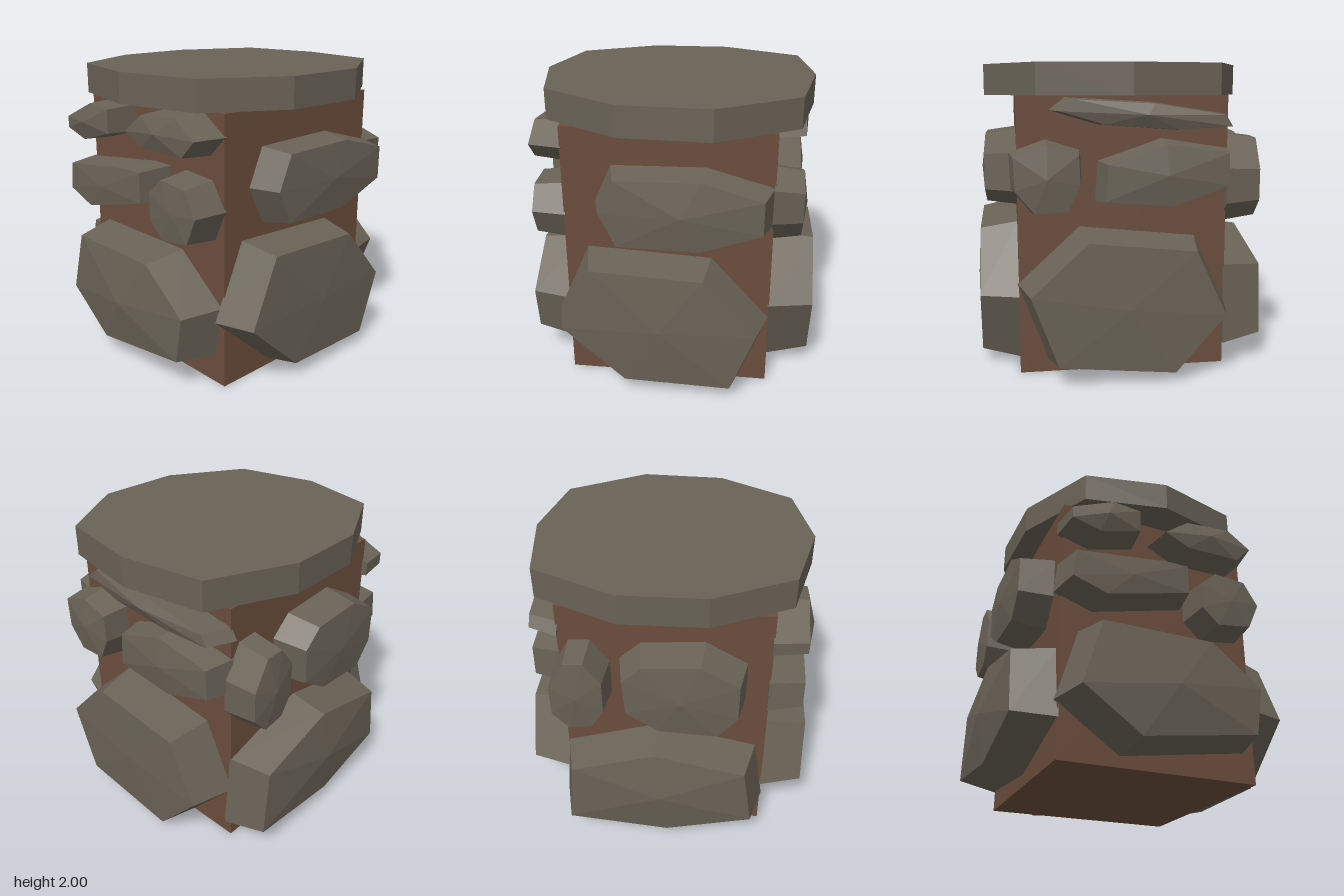
import * as THREE from 'three';

const stone = new THREE.MeshStandardMaterial({ color: 0x696256, flatShading: true });
stone.name = 'stone';
const earth = new THREE.MeshStandardMaterial({ color: 0x6b4d3d, flatShading: true });
earth.name = 'earth';

// Map wall coordinates (u along the wall, v up, d outward) to space
const walls = {
  front: (u, v, d) => new THREE.Vector3(u, v, 0.70 + d),
  back: (u, v, d) => new THREE.Vector3(u, v, -0.66 - d),
  right: (u, v, d) => new THREE.Vector3(0.69 + d, v, u),
  left: (u, v, d) => new THREE.Vector3(-0.67 - d, v, u),
};

// Bevelled stone: outline on the wall, smaller raised rim, and a low peak
function stoneGeometry(place, outline, rimDepth, peakDepth, inset = 0.89) {
  const n = outline.length;
  const us = outline.map(p => p[0]), vs = outline.map(p => p[1]);
  const cu = (Math.min(...us) + Math.max(...us)) / 2;
  const cv = (Math.min(...vs) + Math.max(...vs)) / 2;
  const base = outline.map(([u, v]) => place(u, v, -0.01));
  const rim = outline.map(([u, v]) => place(cu + (u - cu) * inset, cv + (v - cv) * inset, rimDepth));
  const peak = place(cu, cv, peakDepth);
  const under = place(cu, cv, -0.01);
  const middle = place(cu, cv, rimDepth / 2);
  const pos = [];
  // Turn every triangle away from the middle of the stone
  const tri = (a, b, c) => {
    const normal = b.clone().sub(a).cross(c.clone().sub(a));
    const out = a.clone().add(b).add(c).divideScalar(3).sub(middle);
    const order = normal.dot(out) > 0 ? [a, b, c] : [a, c, b];
    order.forEach(p => pos.push(p.x, p.y, p.z));
  };
  for (let i = 0; i < n; i++) {
    const j = (i + 1) % n;
    tri(base[i], base[j], rim[j]);
    tri(base[i], rim[j], rim[i]);
    tri(rim[i], rim[j], peak);
    tri(base[i], base[j], under);
  }
  const g = new THREE.BufferGeometry();
  g.setAttribute('position', new THREE.Float32BufferAttribute(pos, 3));
  g.computeVertexNormals();
  return g;
}

// Each stone: name, rim depth, peak depth, outline of [u, v]
const stones = {
  front: [
    ['largeStone', 0.25, 0.28, [[-0.74, 0.48], [-0.52, 0.98], [0.30, 0.94], [0.69, 0.51], [0.51, 0.04], [-0.28, 0.06]]],
    ['middleStone', 0.20, 0.23, [[-0.46, 1.31], [-0.35, 1.56], [0.26, 1.57], [0.69, 1.45], [0.69, 1.20], [0.25, 1.05], [-0.34, 1.06]]],
  ],
  right: [
    ['largeStone', 0.29, 0.31, [[0.71, 0.60], [0.31, 0.97], [-0.45, 0.89], [-0.67, 0.42], [-0.31, 0.01], [0.52, 0.09]]],
    ['cornerStone', 0.18, 0.21, [[0.75, 1.45], [0.52, 1.53], [0.30, 1.46], [0.29, 1.25], [0.38, 1.07], [0.61, 1.06], [0.74, 1.22]]],
    ['middleStone', 0.18, 0.21, [[0.19, 1.39], [-0.22, 1.53], [-0.67, 1.46], [-0.68, 1.23], [-0.28, 1.09], [0.21, 1.13]]],
    ['upperStone', 0.18, 0.22, [[0.50, 1.71], [0.40, 1.79], [-0.15, 1.76], [-0.65, 1.68], [-0.70, 1.60], [-0.32, 1.58], [0.20, 1.62]]],
  ],
  left: [
    ['largeStone', 0.28, 0.33, [[-0.68, 0.37], [-0.54, 0.85], [0.30, 0.85], [0.68, 0.55], [0.62, 0.20], [-0.26, 0.07]]],
    ['longStone', 0.22, 0.24, [[-0.71, 1.10], [-0.69, 1.31], [0.03, 1.40], [0.20, 1.40], [0.20, 1.17], [-0.45, 1.01]]],
    ['cornerStone', 0.22, 0.24, [[0.22, 1.28], [0.35, 1.40], [0.60, 1.38], [0.71, 1.20], [0.62, 1.00], [0.35, 0.96], [0.22, 1.08]]],
    ['upperBackStone', 0.21, 0.25, [[-0.70, 1.54], [-0.70, 1.63], [-0.38, 1.77], [-0.16, 1.75], [-0.16, 1.57], [-0.48, 1.48]]],
    ['upperFrontStone', 0.21, 0.25, [[-0.04, 1.62], [0.15, 1.76], [0.52, 1.79], [0.71, 1.66], [0.58, 1.53], [0.15, 1.53]]],
  ],
  back: [
    ['largeStone', 0.27, 0.32, [[0.69, 0.68], [0.06, 0.88], [-0.61, 0.74], [-0.68, 0.26], [-0.03, 0.08], [0.74, 0.15]]],
    ['middleStone', 0.23, 0.26, [[0.30, 1.43], [0.16, 1.56], [-0.25, 1.59], [-0.52, 1.44], [-0.52, 1.16], [-0.38, 0.98], [0.05, 1.00], [0.28, 1.15]]],
    ['cornerStone', 0.22, 0.25, [[0.74, 1.10], [0.74, 1.33], [0.62, 1.55], [0.48, 1.56], [0.36, 1.40], [0.36, 1.15], [0.45, 1.00], [0.62, 0.97]]],
  ],
};

export function createModel() {
  const model = new THREE.Group();
  model.name = 'stonePillar';

  // Square earth core
  const core = new THREE.Mesh(new THREE.BoxGeometry(1.36, 1.8, 1.36), earth);
  core.name = 'core';
  core.position.set(0.01, 0.9, 0.02);
  model.add(core);

  // Ten-sided cap slab
  const rim = [[-0.91, 0], [-0.78, 0.57], [-0.27, 0.88], [0.31, 0.90], [0.83, 0.58],
    [0.93, 0], [0.83, -0.57], [0.28, -0.82], [-0.27, -0.81], [-0.78, -0.55]];
  const shape = new THREE.Shape(rim.map(([x, z]) => new THREE.Vector2(x, -z)));
  const slabGeometry = new THREE.ExtrudeGeometry(shape, { depth: 0.2, bevelEnabled: false });
  slabGeometry.rotateX(-Math.PI / 2);
  const slab = new THREE.Mesh(slabGeometry, stone);
  slab.name = 'capSlab';
  slab.position.y = 1.8;
  model.add(slab);

  // Stones set into the four walls
  for (const [wall, list] of Object.entries(stones)) {
    const group = new THREE.Group();
    group.name = wall + 'WallStones';
    for (const [name, rimDepth, peakDepth, outline] of list) {
      const mesh = new THREE.Mesh(stoneGeometry(walls[wall], outline, rimDepth, peakDepth), stone);
      mesh.name = name;
      group.add(mesh);
    }
    model.add(group);
  }
  return model;
}
